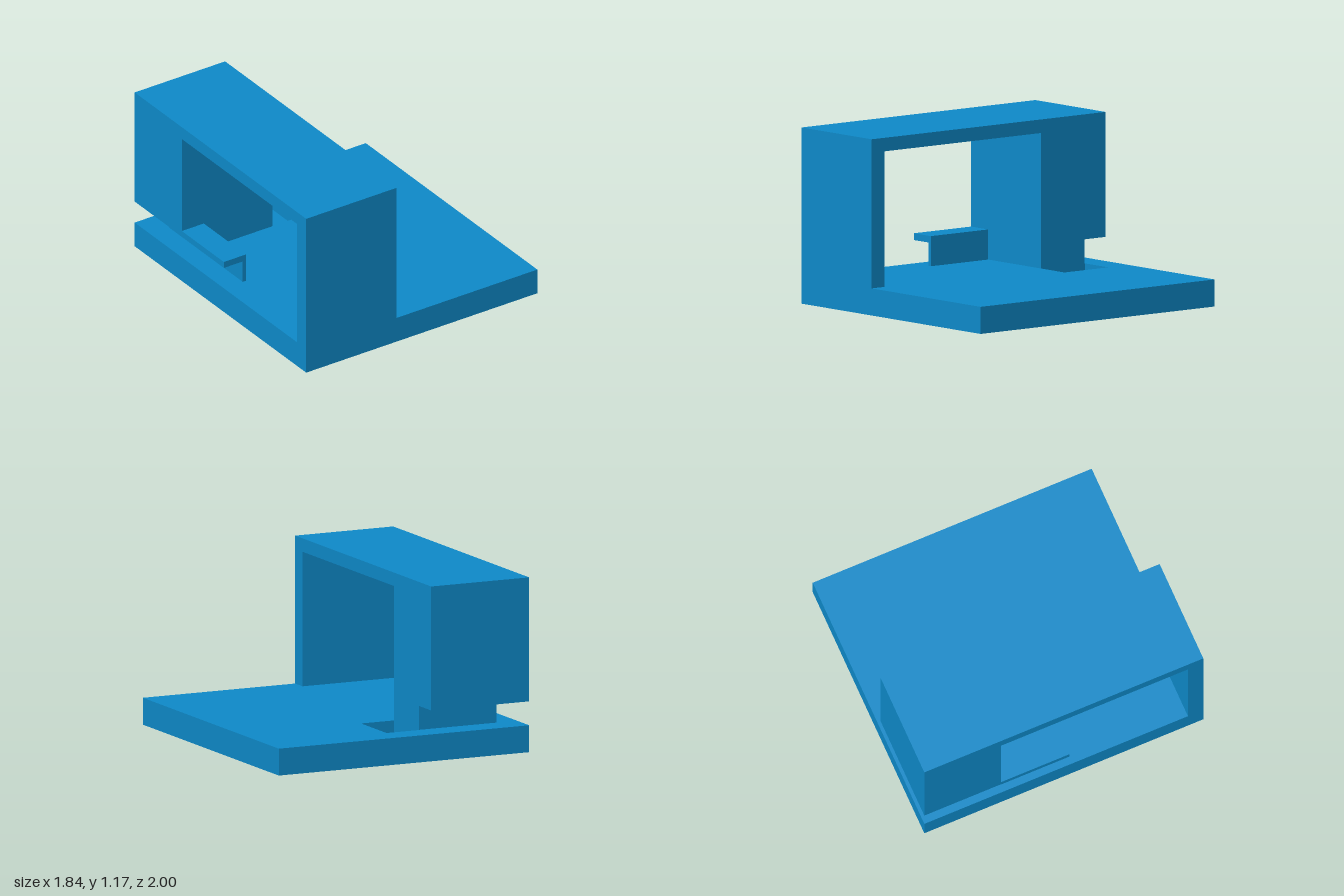
import * as THREE from 'three';

const material = new THREE.MeshStandardMaterial({ color: 0x0e8bcb, flatShading: true });

function add(group, name, geometry) {
  const mesh = new THREE.Mesh(geometry, material);
  mesh.name = name;
  group.add(mesh);
}

// Box given by its limits on each axis
function block(x0, x1, y0, y1, z0, z1) {
  return new THREE.BoxGeometry(x1 - x0, y1 - y0, z1 - z0)
    .translate((x0 + x1) / 2, (y0 + y1) / 2, (z0 + z1) / 2);
}

const points = (list) => list.map(([a, b]) => new THREE.Vector2(a, b));

export function createModel() {
  const model = new THREE.Group();
  const left = -0.92, inner = -0.2, deck = 0.18, pocketFloor = 0.06;

  // Base plate: solid lower layer, upper layer with a rectangular pocket
  add(model, 'baseLower', block(left, 0.92, 0, pocketFloor, -1, 1));
  const plate = new THREE.Shape(points([[left, -1], [0.92, -1], [0.92, 1], [left, 1]]));
  plate.holes.push(new THREE.Path(points([[inner, 0.45], [inner, 0.825], [0.04, 0.825], [0.04, 0.45]])));
  add(model, 'baseUpper', new THREE.ExtrudeGeometry(plate, { depth: deck - pocketFloor, bevelEnabled: false })
    .rotateX(-Math.PI / 2).translate(0, pocketFloor, 0));

  // Arch: front wall, top beam and raised rear column, profile in z and y
  const arch = new THREE.Shape(points([
    [1, deck], [1, 1.17], [-1, 1.17], [-1, 0.34], [-0.45, 0.34], [-0.45, 1.08], [0.89, 1.08], [0.89, deck],
  ]));
  add(model, 'arch', new THREE.ExtrudeGeometry(arch, { depth: inner - left, bevelEnabled: false })
    .rotateY(-Math.PI / 2).translate(inner, 0, 0));

  // Narrower foot under the rear column
  add(model, 'columnFoot', block(-0.77, inner, deck, 0.34, -0.82, -0.45));

  // Ledge: thin upright wall carrying an overhanging shelf
  add(model, 'ledgeWall', block(-0.77, -0.745, deck, 0.335, -0.45, 0.04));
  add(model, 'ledgeShelf', block(left, -0.745, 0.335, 0.38, -0.45, 0.04));

  return model;
}
